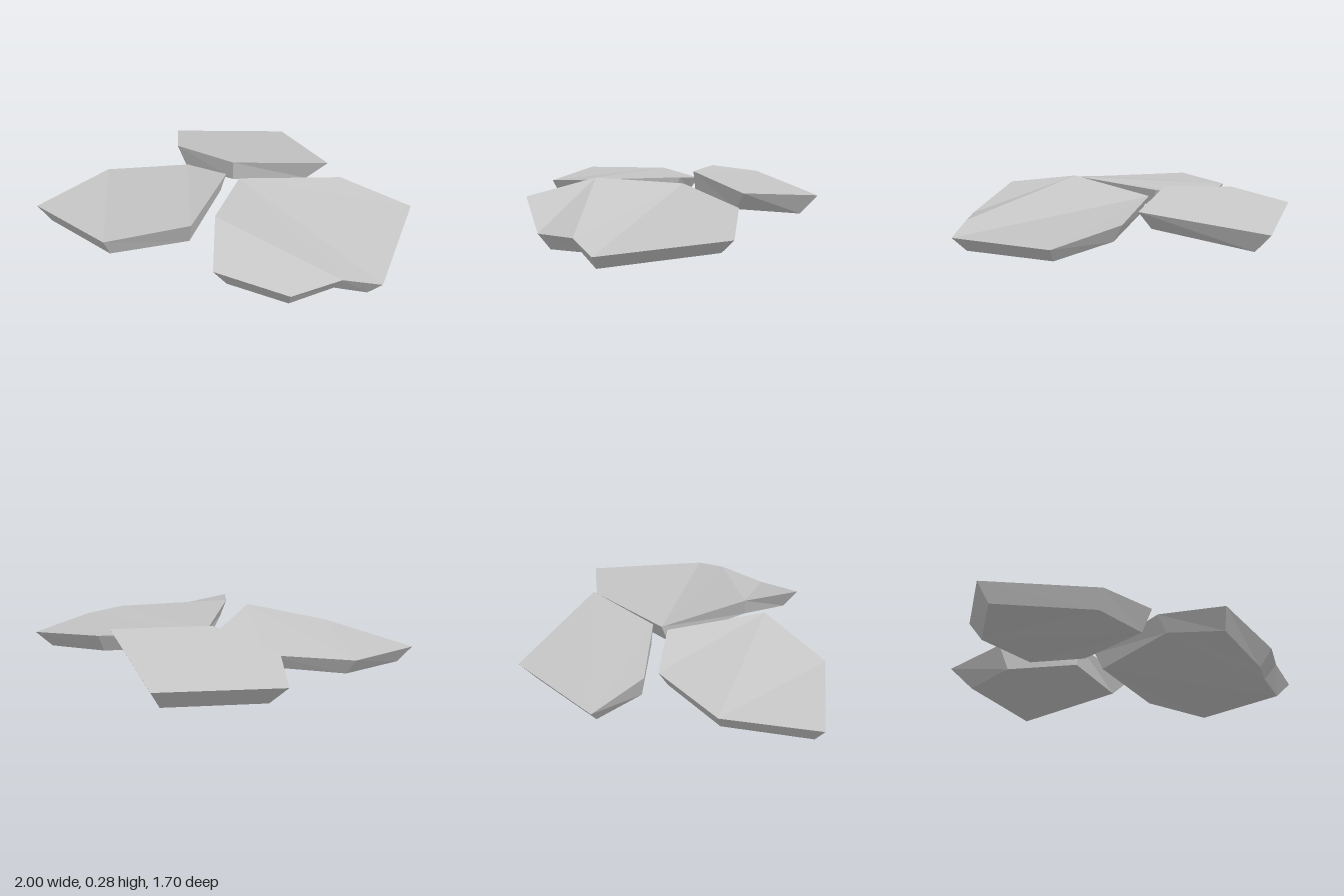
import * as THREE from 'three';

const stone = new THREE.MeshStandardMaterial({ color: 0xc7c7c7, flatShading: true });
stone.name = 'stoneGrey';

// A slab from two matching loops: each row is a rim corner [x, y, z] and the
// underside corner beneath it, counter-clockwise from above.
// facets lists the triangles of the top; the underside repeats them reversed.
function slab(name, corners, facets) {
  const n = corners.length;
  const top = corners.map(([t]) => t);
  const bottom = corners.map(([, b]) => b);
  const points = [];
  const tri = (a, b, c) => points.push(...a, ...b, ...c);

  for (const [a, b, c] of facets) {
    tri(top[a], top[b], top[c]);
    tri(bottom[c], bottom[b], bottom[a]);
  }
  for (let i = 0; i < n; i++) {
    const j = (i + 1) % n;
    tri(top[i], bottom[i], bottom[j]);
    tri(top[i], bottom[j], top[j]);
  }
  const geometry = new THREE.BufferGeometry();
  geometry.setAttribute('position', new THREE.Float32BufferAttribute(points, 3));
  geometry.computeVertexNormals();
  const mesh = new THREE.Mesh(geometry, stone);
  mesh.name = name;
  return mesh;
}

export function createModel() {
  const model = new THREE.Group();
  model.name = 'brokenStoneSlabs';

  // Flat five-sided slab at the back
  model.add(slab('backSlab', [
    [[-1, 0.145, -0.365], [-0.87, 0.03, -0.36]],
    [[-0.75, 0.22, -0.12], [-0.69, 0.08, -0.14]],
    [[-0.265, 0.28, -0.12], [-0.28, 0.155, -0.13]],
    [[0.15, 0.265, -0.52], [0.03, 0.14, -0.46]],
    [[-0.5, 0.125, -0.85], [-0.465, 0.01, -0.75]],
  ], [[0, 1, 2], [0, 2, 3], [0, 3, 4]]));

  // Six-sided slab at the front
  model.add(slab('frontSlab', [
    [[-0.97, 0.133, 0.28], [-0.9, 0.04, 0.29]],
    [[-1, 0.1, 0.82], [-0.93, 0.005, 0.775]],
    [[-0.36, 0.14, 0.85], [-0.37, 0.035, 0.8]],
    [[0, 0.243, 0.51], [-0.05, 0.105, 0.48]],
    [[-0.25, 0.24, -0.04], [-0.26, 0.14, 0]],
    [[-0.6, 0.165, -0.06], [-0.58, 0.08, -0.01]],
  ], [[0, 1, 2], [0, 2, 3], [0, 3, 5], [3, 4, 5]]));

  // Large cracked slab on the left
  model.add(slab('leftSlab', [
    [[-0.18, 0.22, -0.08], [-0.14, 0.11, -0.05]],
    [[0.07, 0.28, 0.39], [0.12, 0.17, 0.39]],
    [[0.36, 0.21, 0.71], [0.38, 0.1, 0.63]],
    [[0.71, 0.1, 0.49], [0.655, 0, 0.44]],
    [[0.85, 0.135, 0.23], [0.78, 0.04, 0.21]],
    [[1, 0.09, 0.07], [0.91, 0, 0.08]],
    [[0.715, 0.155, -0.6], [0.66, 0.065, -0.52]],
    [[0.25, 0.205, -0.52], [0.27, 0.1, -0.46]],
  ], [[0, 1, 4], [1, 3, 4], [1, 2, 3], [0, 4, 5], [0, 5, 6], [0, 6, 7]]));

  return model;
}
